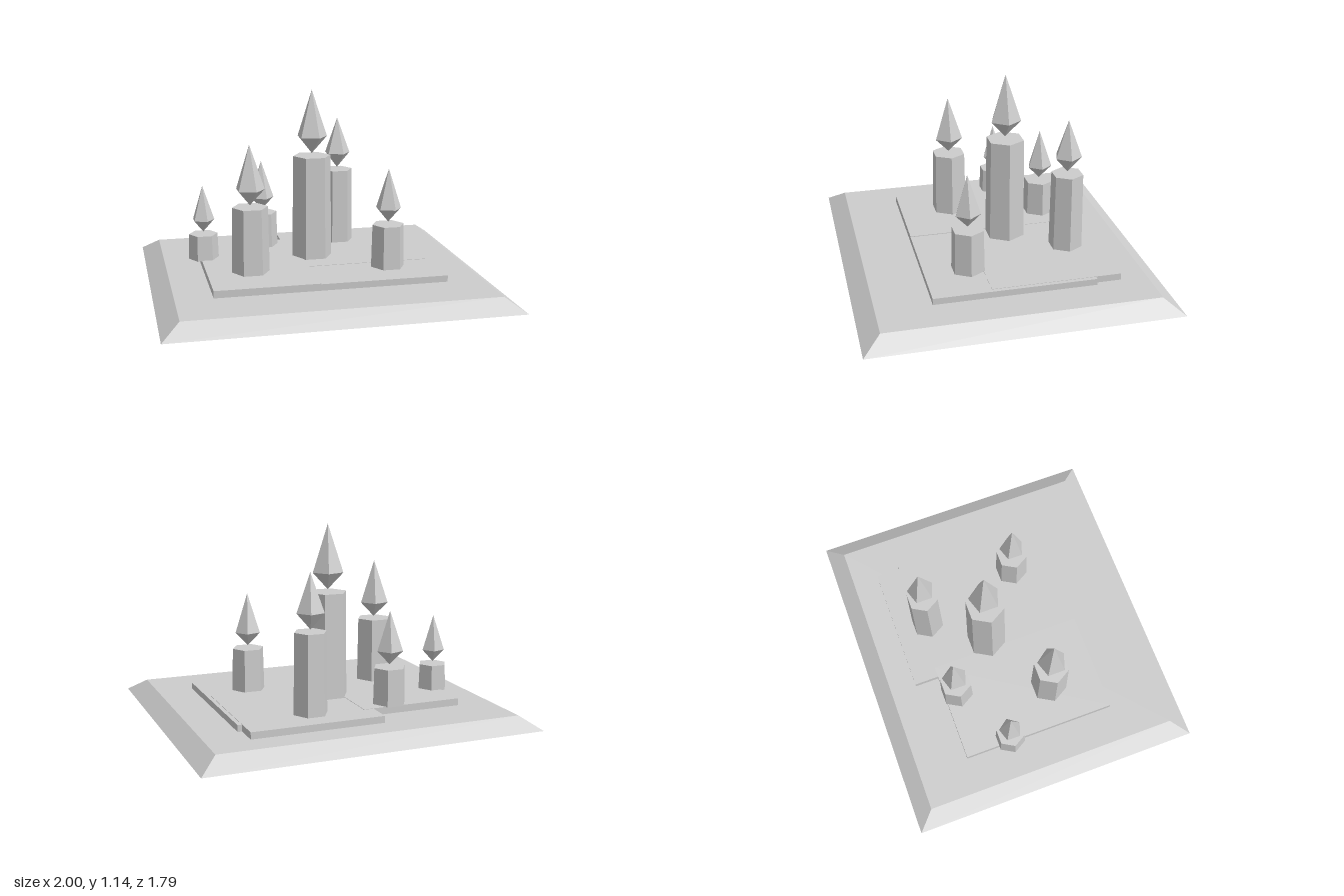
import * as THREE from 'three';

const stone = new THREE.MeshStandardMaterial({ color: 0xcccccc });
stone.name = 'paleStone';

function addMesh(parent, geometry, name, x, y, z) {
  // separate faces give crisp flat shading
  const flat = geometry.index ? geometry.toNonIndexed() : geometry;
  flat.computeVertexNormals();
  const mesh = new THREE.Mesh(flat, stone);
  mesh.name = name;
  mesh.position.set(x, y, z);
  parent.add(mesh);
  return mesh;
}

// Box given by its extents
function addSlab(parent, name, x0, x1, y0, y1, z0, z1) {
  addMesh(parent, new THREE.BoxGeometry(x1 - x0, y1 - y0, z1 - z0), name,
    (x0 + x1) / 2, (y0 + y1) / 2, (z0 + z1) / 2);
}

// Hexagonal pillar with a five-sided crystal floating above it
function addTower(parent, t) {
  const tower = new THREE.Group();
  tower.name = 'tower';
  tower.position.set(t.x, 0, t.z);
  const foot = 0.113;

  const pillar = new THREE.CylinderGeometry(t.r * 0.94, t.r, t.top - foot, 6);
  pillar.rotateY(Math.PI / 2);
  addMesh(tower, pillar, 'pillar', 0, (t.top + foot) / 2, 0);

  const [low, waist, tip] = t.crystal;
  const upper = new THREE.ConeGeometry(t.cr, tip - waist, 5, 1, true);
  upper.rotateY(Math.PI / 2);
  addMesh(tower, upper, 'crystalTip', 0, (tip + waist) / 2, 0);

  const lower = new THREE.CylinderGeometry(t.cr, 0, waist - low, 5, 1, true);
  lower.rotateY(Math.PI / 2);
  addMesh(tower, lower, 'crystalBase', 0, (waist + low) / 2, 0);

  parent.add(tower);
}

export function createModel() {
  const model = new THREE.Group();
  model.name = 'crystalTowers';

  // Ground plinth: a box with its top pulled in to bevel the sides
  const plinth = new THREE.BoxGeometry(2, 0.075, 1.79);
  const p = plinth.attributes.position;
  for (let i = 0; i < p.count; i++) {
    if (p.getY(i) > 0) {
      p.setX(i, Math.sign(p.getX(i)) * 0.895);
      p.setZ(i, Math.sign(p.getZ(i)) * 0.79);
    }
  }
  addMesh(model, plinth, 'plinth', 0, 0.0375, 0);

  // Overlapping paving slabs with slightly different heights
  addSlab(model, 'leftSlab', -0.68, -0.07, 0.07, 0.117, -0.48, 0.47);
  addSlab(model, 'rightSlab', -0.07, 0.68, 0.07, 0.113, -0.48, 0.47);
  addSlab(model, 'backSlab', -0.13, 0.655, 0.07, 0.115, -0.63, 0.13);

  // Towers: position, pillar radius and top, crystal radius and heights
  const towers = [
    { x: 0, z: -0.107, r: 0.123, top: 0.74, cr: 0.094, crystal: [0.755, 0.857, 1.14] },
    { x: -0.423, z: 0.156, r: 0.112, top: 0.505, cr: 0.088, crystal: [0.515, 0.607, 0.87] },
    { x: -0.265, z: -0.4, r: 0.102, top: 0.33, cr: 0.078, crystal: [0.345, 0.427, 0.66] },
    { x: -0.66, z: -0.19, r: 0.092, top: 0.267, cr: 0.069, crystal: [0.28, 0.355, 0.565] },
    { x: 0.235, z: -0.425, r: 0.102, top: 0.583, cr: 0.082, crystal: [0.595, 0.69, 0.915] },
    { x: 0.393, z: 0.21, r: 0.102, top: 0.37, cr: 0.077, crystal: [0.385, 0.467, 0.705] },
  ];
  towers.forEach((t) => addTower(model, t));

  return model;
}
